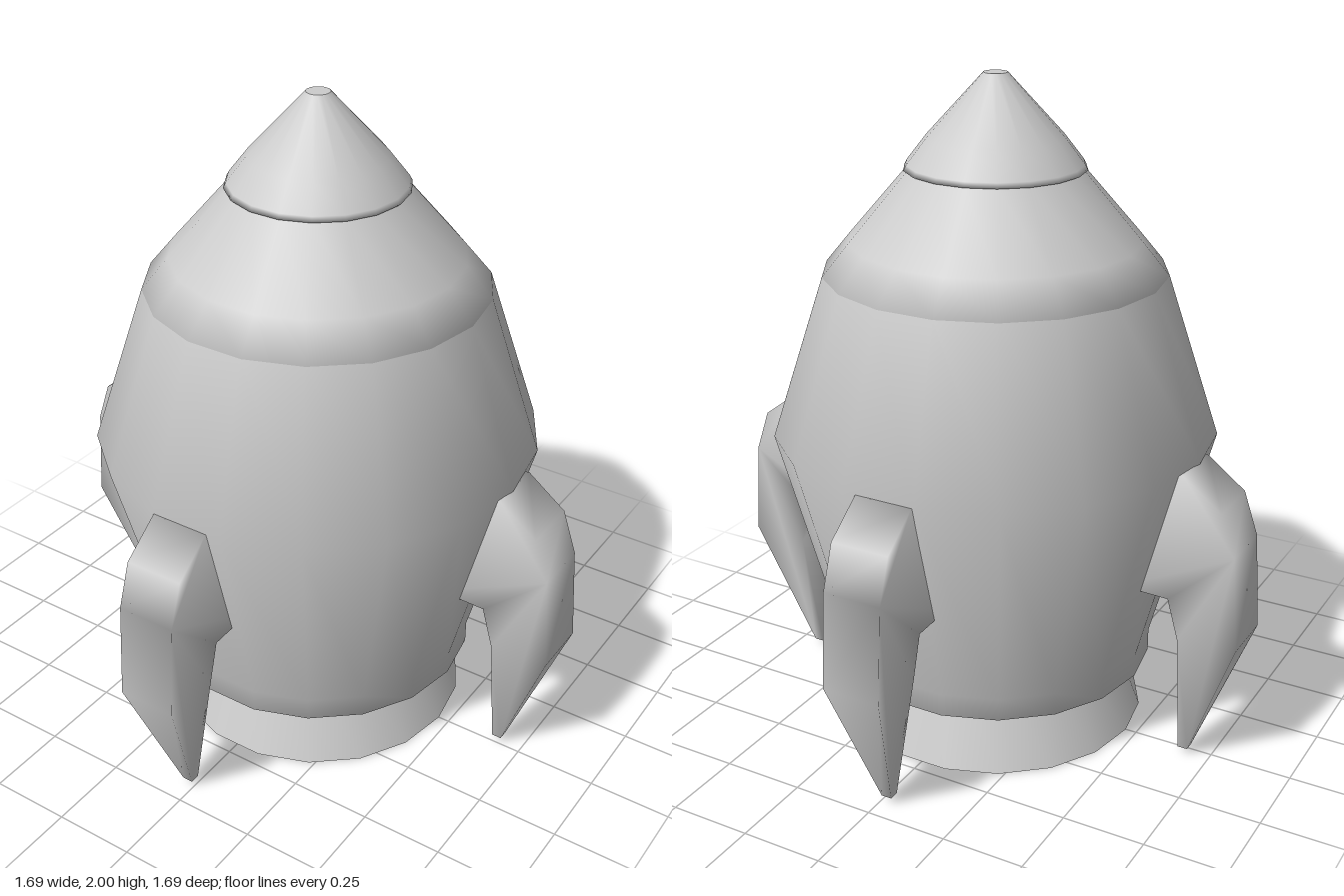
import * as THREE from 'three';
import { mergeVertices } from 'three/addons/utils/BufferGeometryUtils.js';

const material = new THREE.MeshStandardMaterial({ color: 0xcccccc });
const SIDES = 18;

// Turned part: each section is a smooth profile of [radius, height]; sections meet in a sharp edge
function turned(name, ...sections) {
  const group = new THREE.Group();
  group.name = name;
  for (const section of sections) {
    const points = section.map(([r, y]) => new THREE.Vector2(r, y));
    const mesh = new THREE.Mesh(new THREE.LatheGeometry(points, SIDES, Math.PI / SIDES), material);
    mesh.name = name + 'Surface';
    group.add(mesh);
  }
  return group;
}

// Fin outline in radius and height, extruded and tapered towards the foot
function finGeometry() {
  const outline = [
    [0.66, 0.95], [0.52, 0.92], [0.48, 0.56], [0.63, 0.555], [0.665, 0.43],
    [0.655, 0.02], [0.685, 0.02], [0.845, 0.44], [0.825, 0.73], [0.78, 0.86],
  ];
  const shape = new THREE.Shape(outline.map(([x, y]) => new THREE.Vector2(x, y)));
  let geometry = new THREE.ExtrudeGeometry(shape, { depth: 0.18, bevelEnabled: false });
  geometry.translate(0, 0, -0.09);
  const p = geometry.attributes.position;
  for (let i = 0; i < p.count; i++) {
    const t = THREE.MathUtils.clamp((p.getY(i) - 0.02) / 0.41, 0, 1);
    p.setZ(i, p.getZ(i) * THREE.MathUtils.lerp(0.18, 1, t));
  }
  // Shared vertices give the soft shading round the edges
  geometry.deleteAttribute('normal');
  geometry.deleteAttribute('uv');
  geometry = mergeVertices(geometry, 1e-4);
  geometry.computeVertexNormals();
  return geometry;
}

export function createModel() {
  const model = new THREE.Group();
  model.name = 'rocket';

  // Hull with a recessed underside and a thin skirt
  model.add(turned('hull',
    [[0, 0.28], [0.45, 0.28]],
    [[0.45, 0.28], [0.455, 0.2]],
    [[0.455, 0.2], [0.487, 0.2], [0.487, 0.27], [0.667, 0.95], [0.508, 1.43]],
  ));

  // Nose in two stepped stages, each with a small lip below
  model.add(turned('noseBand', [[0.43, 1.43], [0.508, 1.43], [0.43, 1.525], [0.25, 1.735]]));
  model.add(turned('noseCap',
    [[0.24, 1.73], [0.266, 1.73], [0.258, 1.745], [0.2, 1.82], [0.035, 2]],
    [[0.035, 2], [0, 2]],
  ));

  // Hollow flared nozzle
  model.add(turned('nozzle',
    [[0, 0.27], [0.25, 0.27]],
    [[0.25, 0.27], [0.43, 0]],
    [[0.43, 0], [0.465, 0]],
    [[0.465, 0], [0.36, 0.28]],
  ));

  // Four fins, all shifted slightly towards -x and -z
  const geometry = finGeometry();
  ['leftFin', 'backFin', 'rightFin', 'frontFin'].forEach((name, i) => {
    const fin = new THREE.Mesh(geometry, material);
    fin.name = name;
    fin.rotation.y = i * Math.PI / 2;
    if (i % 2) fin.position.x = -0.02;
    else fin.position.z = -0.02;
    model.add(fin);
  });

  return model;
}
